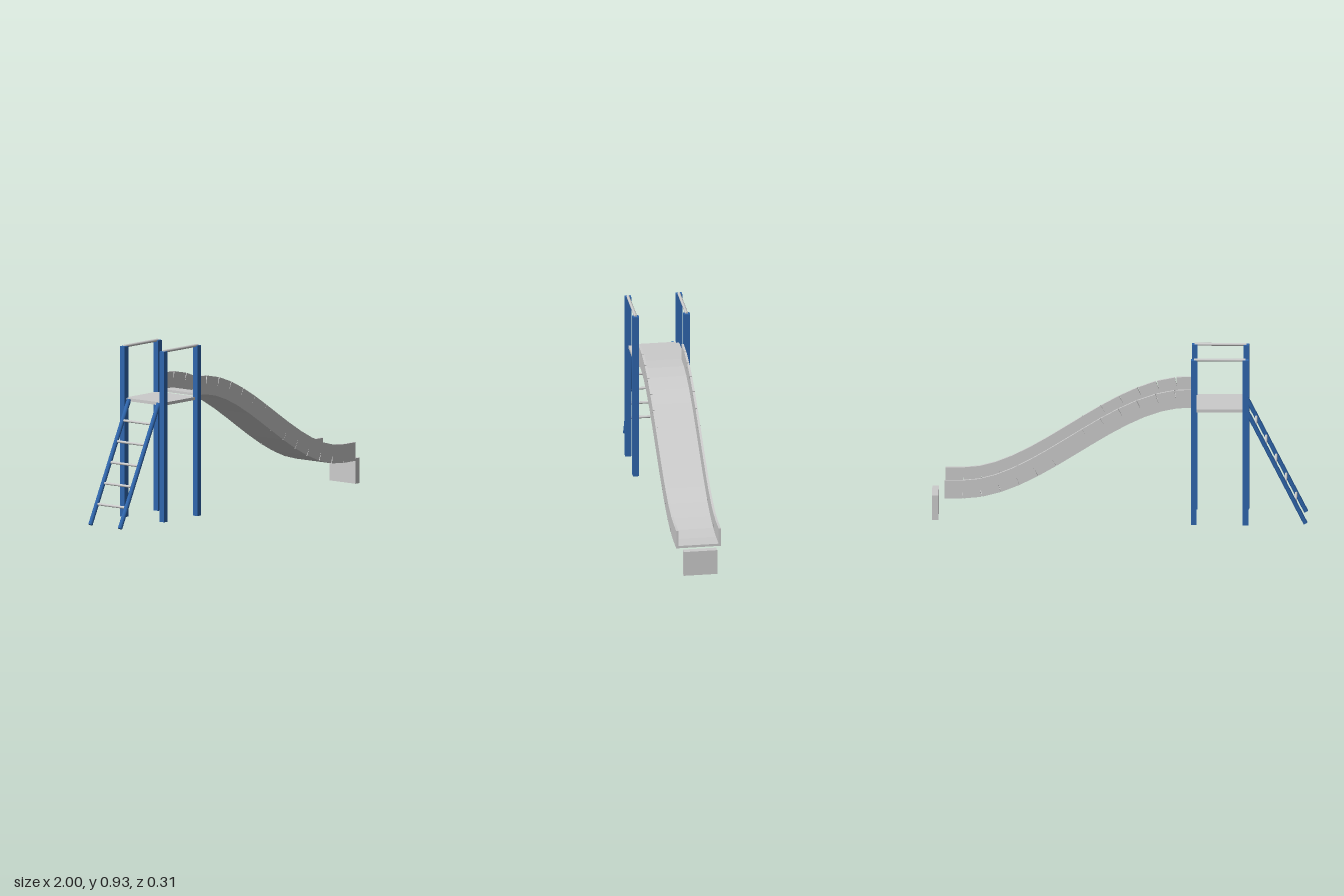
import * as THREE from 'three';

const grey = new THREE.MeshStandardMaterial({ color: 0xcccccc });
const blue = new THREE.MeshStandardMaterial({ color: 0x2f66ad });

export function createModel() {
  const model = new THREE.Group();

  const add = (name, geometry, material, parent = model) => {
    const mesh = new THREE.Mesh(geometry, material);
    mesh.name = name;
    parent.add(mesh);
    return mesh;
  };
  // Box given by its centre and size
  const box = (name, [x, y, z], size, material, parent) => {
    const mesh = add(name, new THREE.BoxGeometry(...size), material, parent);
    mesh.position.set(x, y, z);
    return mesh;
  };
  // Round bar between two points
  const bar = (name, from, to, radius, material, parent) => {
    const a = new THREE.Vector3(...from), b = new THREE.Vector3(...to);
    const dir = b.clone().sub(a);
    const mesh = add(name, new THREE.CylinderGeometry(radius, radius, dir.length(), 16), material, parent);
    mesh.position.copy(a).add(b).multiplyScalar(0.5);
    mesh.quaternion.setFromUnitVectors(new THREE.Vector3(0, 1, 0), dir.normalize());
    return mesh;
  };

  // Tower: four square posts, platform and two handrails
  const backX = -0.67, frontX = -0.395, postZ = 0.137;
  for (const z of [-postZ, postZ]) {
    for (const x of [backX, frontX]) box('post', [x, 0.467, z], [0.03, 0.917, 0.033], blue);
    bar('handrail', [backX, 0.925, z], [frontX, 0.925, z], 0.008, grey);
  }
  box('platform', [(backX + frontX) / 2, 0.64, 0], [frontX - backX, 0.016, 0.272], grey);

  // Ladder: two leaning rails with five evenly spaced rungs
  const ladder = new THREE.Group();
  ladder.name = 'ladder';
  model.add(ladder);
  const foot = [-0.988, 0.006], head = [-0.67, 0.642], railZ = 0.103;
  for (const z of [-railZ, railZ]) bar('ladderRail', [...foot, z], [...head, z], 0.012, blue, ladder);
  for (let i = 1; i <= 5; i++) {
    const x = THREE.MathUtils.lerp(foot[0], head[0], i / 6);
    const y = THREE.MathUtils.lerp(foot[1], head[1], i / 6);
    bar('rung', [x, y, -railZ], [x, y, railZ], 0.007, grey, ladder);
  }

  // Chute: S-shaped centre line, flat at both ends, in straight sections
  const chute = new THREE.Group();
  chute.name = 'chute';
  model.add(chute);
  const sections = 14, startX = -0.395, endX = 0.93, wallHeight = 0.1;
  const points = [];
  for (let i = 0; i <= sections; i++) {
    const x = THREE.MathUtils.lerp(startX, endX, i / sections);
    points.push(new THREE.Vector2(x, 0.702 - 0.512 * THREE.MathUtils.smoothstep(x, -0.36, 0.835)));
  }

  // Side walls: one tilted panel per section, leaving thin wedges at the joints
  for (let i = 0; i < sections; i++) {
    const a = points[i], b = points[i + 1];
    for (const z of [-0.114, 0.114]) {
      const wall = box('sideWall', [(a.x + b.x) / 2, (a.y + b.y) / 2, z],
        [a.distanceTo(b), wallHeight, 0.012], grey, chute);
      wall.rotation.z = Math.atan2(b.y - a.y, b.x - a.x);
    }
  }

  // Sliding bed: a continuous strip along the bottom of the walls
  const offset = (d) => points.map((p, i) => {
    const t = points[Math.min(i + 1, sections)].clone().sub(points[Math.max(i - 1, 0)]).normalize();
    return new THREE.Vector2(p.x - t.y * d, p.y + t.x * d);
  });
  const profile = new THREE.Shape([...offset(-0.05), ...offset(-0.037).reverse()]);
  const bed = new THREE.ExtrudeGeometry(profile, { depth: 0.22, bevelEnabled: false });
  bed.translate(0, 0, -0.11);
  add('slideBed', bed, grey, chute);

  // Upright block beyond the foot of the chute
  box('endBlock', [0.981, 0.077, 0], [0.035, 0.137, 0.18], grey);

  return model;
}
